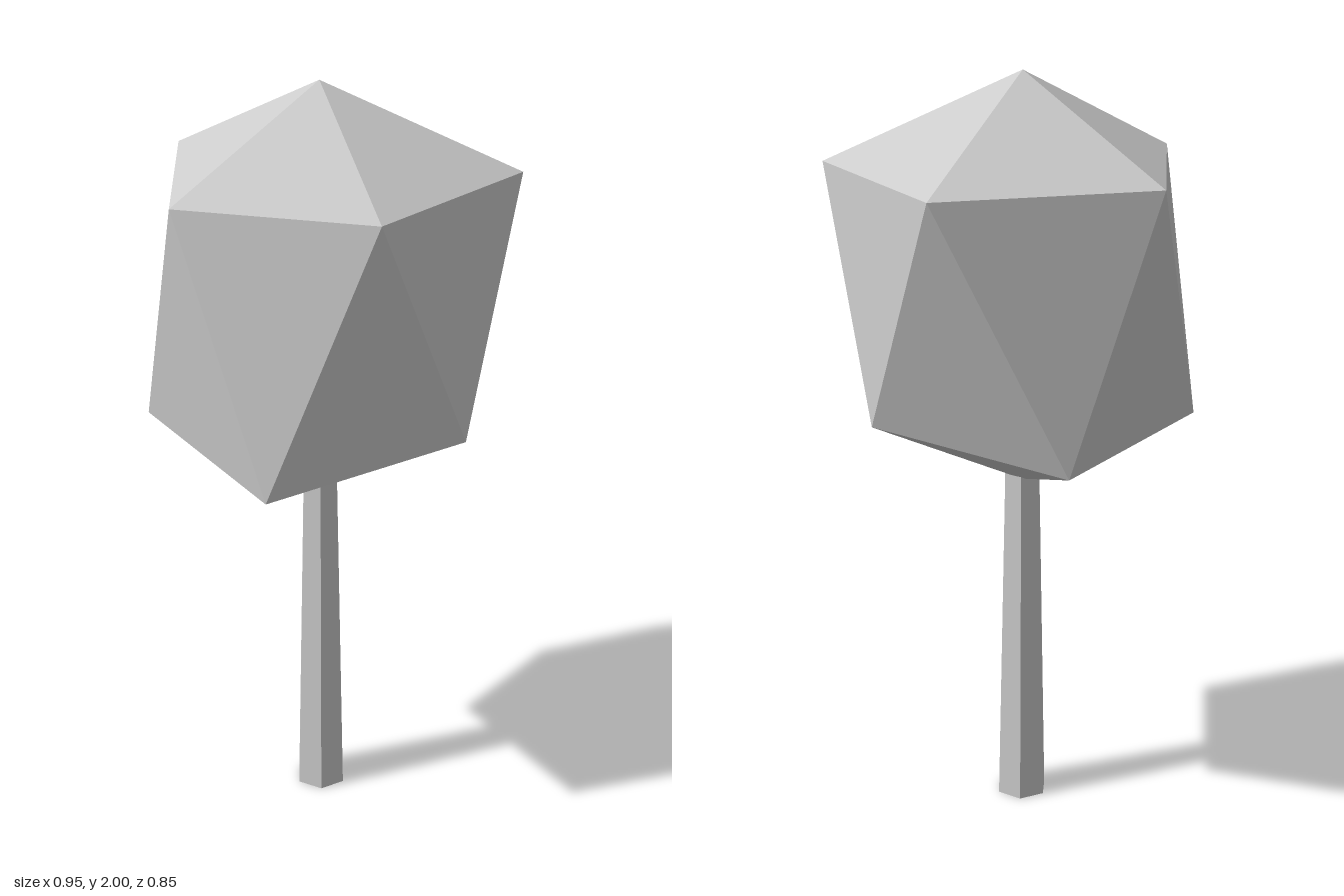
import * as THREE from 'three';

const material = new THREE.MeshStandardMaterial({ color: 0xcccccc, flatShading: true });

// Irregular twenty-sided crown: two staggered rings of five points between two tips
function crownGeometry() {
  const top = [-0.03, 2, 0];
  const bottom = [-0.03, 0.92, 0];
  const upper = [[0.475, 0], [0.11, 0.39], [-0.39, 0.262], [-0.39, -0.262], [0.168, -0.425]]
    .map(([x, z]) => [x, 1.763, z]);
  const lower = [
    [0.33, 1.147, 0.262], [-0.168, 1.06, 0.425], [-0.475, 1.115, 0],
    [-0.168, 1.047, -0.34], [0.33, 1.147, -0.262],
  ];
  const points = [];
  for (let i = 0; i < 5; i++) {
    const j = (i + 1) % 5;
    points.push(
      top, upper[j], upper[i],
      upper[i], upper[j], lower[i],
      lower[i], upper[j], lower[j],
      bottom, lower[i], lower[j],
    );
  }
  const geometry = new THREE.BufferGeometry();
  geometry.setAttribute('position', new THREE.Float32BufferAttribute(points.flat(), 3));
  geometry.computeVertexNormals();
  return geometry;
}

export function createModel() {
  const tree = new THREE.Group();
  tree.name = 'tree';

  const crown = new THREE.Mesh(crownGeometry(), material);
  crown.name = 'crown';

  // Tapered six-sided trunk
  const height = 0.945;
  const trunk = new THREE.Mesh(new THREE.CylinderGeometry(0.05, 0.07, height, 6), material);
  trunk.name = 'trunk';
  trunk.position.set(-0.03, height / 2, 0.015);

  tree.add(crown, trunk);
  return tree;
}
